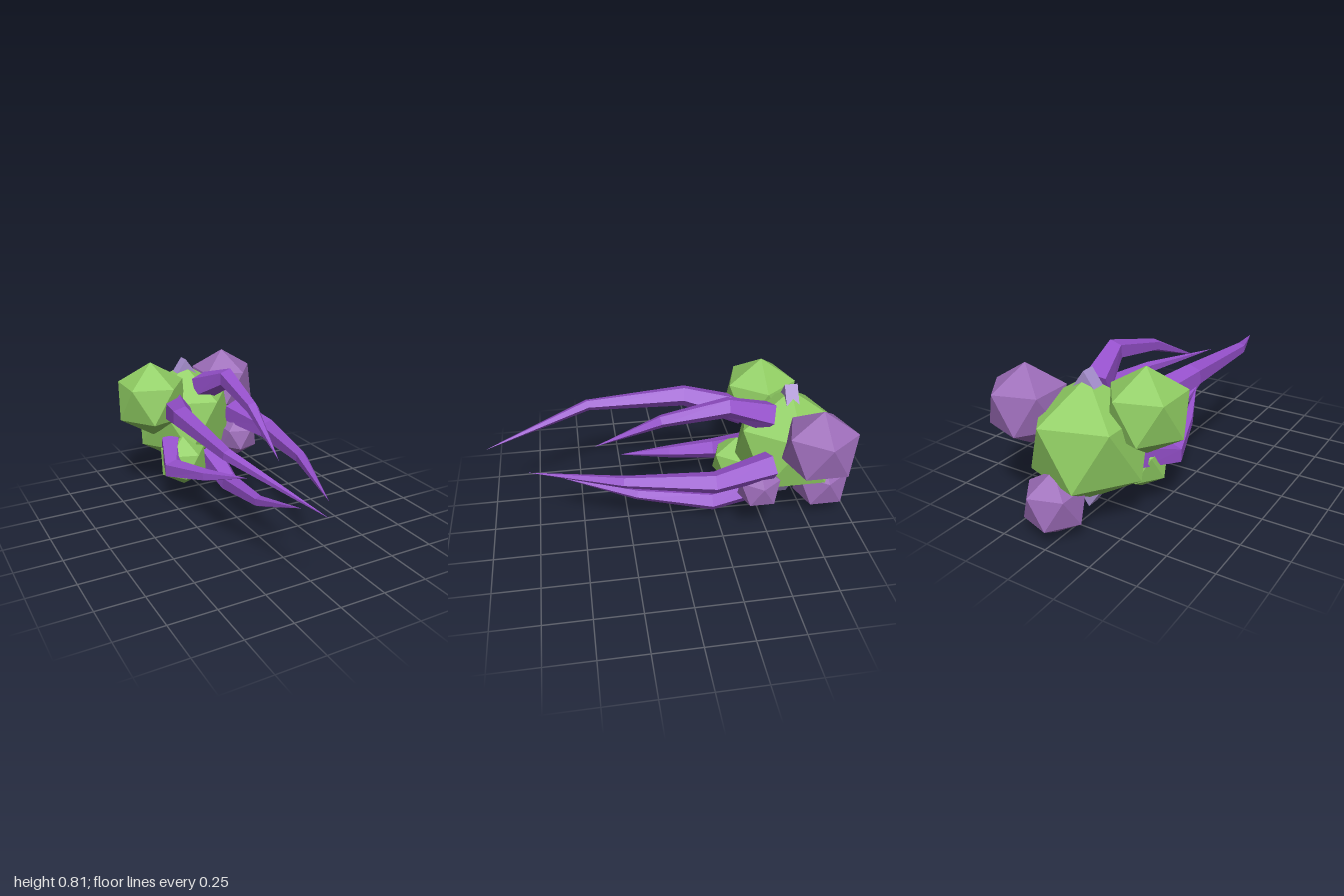
import * as THREE from 'three';
import { ConvexGeometry } from 'three/addons/geometries/ConvexGeometry.js';

const material = (name, color) => {
  const m = new THREE.MeshStandardMaterial({ color, flatShading: true });
  m.name = name;
  return m;
};

// Unit icosahedron standing on a vertex: two poles and two staggered rings of five
function polePointedIcosahedron() {
  const pts = [new THREE.Vector3(0, 1, 0), new THREE.Vector3(0, -1, 0)];
  const h = 1 / Math.sqrt(5), r = 2 / Math.sqrt(5);
  for (let k = 0; k < 5; k++) {
    const up = k * Math.PI * 0.4, low = up + Math.PI * 0.2;
    pts.push(new THREE.Vector3(r * Math.cos(up), h, r * Math.sin(up)));
    pts.push(new THREE.Vector3(r * Math.cos(low), -h, r * Math.sin(low)));
  }
  return new ConvexGeometry(pts);
}

const CENTRE = new THREE.Vector3(-0.018, 0.423, 0);

// Five-sided tapering claw through rings of [x, y, z, radius]
function clawGeometry(rings, sides = 5) {
  const centres = rings.map(([x, y, z]) => new THREE.Vector3(x, y, z));
  const radial = centres[1].clone().sub(CENTRE).setZ(0).normalize();
  const loops = centres.map((c, i) => {
    const before = centres[Math.max(i - 1, 0)];
    const after = centres[Math.min(i + 1, centres.length - 1)];
    const t = after.clone().sub(before).normalize();
    const u = radial.clone().addScaledVector(t, -radial.dot(t)).normalize();
    const v = t.clone().cross(u);
    return Array.from({ length: sides }, (_, j) => {
      const a = (j / sides) * Math.PI * 2;
      return c.clone()
        .addScaledVector(u, Math.cos(a) * rings[i][3])
        .addScaledVector(v, Math.sin(a) * rings[i][3]);
    });
  });
  const tris = [];
  for (let j = 0; j < sides; j++) {
    const k = (j + 1) % sides;
    tris.push(centres[0], loops[0][k], loops[0][j]);
    for (let i = 0; i < loops.length - 1; i++) {
      const [a, b, c, d] = [loops[i][j], loops[i][k], loops[i + 1][j], loops[i + 1][k]];
      tris.push(a, b, c);
      if (i < loops.length - 2) tris.push(b, d, c);
    }
  }
  const geo = new THREE.BufferGeometry().setFromPoints(tris);
  geo.computeVertexNormals();
  return geo;
}

export function createModel() {
  const group = new THREE.Group();
  const green = material('leafGreen', 0x8fcc62);
  const mauve = material('mauve', 0x9c6cb8);
  const violet = material('violet', 0x9550cb);
  const lavender = material('lavender', 0xa890d0);

  const add = (name, geometry, mat) => {
    const mesh = new THREE.Mesh(geometry, mat);
    mesh.name = name;
    group.add(mesh);
    return mesh;
  };

  // Body and the lumps growing on it
  const lump = polePointedIcosahedron();
  const lumps = [
    ['body', green, -0.018, 0.423, -0.648, 0.32],
    ['upperRightLump', green, -0.27, 0.59, -0.545, 0.22],
    ['lowerRightLump', green, -0.145, 0.233, -0.4, 0.15],
    ['upperLeftLump', mauve, 0.28, 0.57, -0.73, 0.21],
    ['lowerLeftLump', mauve, 0.236, 0.314, -0.435, 0.124],
    ['bottomLump', mauve, 0.045, 0.167, -0.857, 0.167],
  ];
  for (const [name, mat, x, y, z, r] of lumps) {
    const mesh = add(name, lump, mat);
    mesh.position.set(x, y, z);
    mesh.scale.setScalar(r);
  }

  // Diamond band whose points poke out above and below the body
  const band = add('band', new THREE.CylinderGeometry(1, 1, 0.07, 4).rotateX(Math.PI / 2), lavender);
  band.position.set(-0.018, 0.423, -0.645);
  band.scale.set(0.255, 0.356, 1);

  // Claws: root, bulge, taper, tip
  const claws = {
    upperRightClaw: [[-0.17, 0.55, -0.43, 0.085], [-0.27, 0.615, -0.11, 0.06], [-0.28, 0.595, 0.43, 0.032], [-0.09, 0.475, 1, 0]],
    topClaw: [[0.045, 0.635, -0.51, 0.085], [0.09, 0.735, -0.28, 0.057], [0.06, 0.665, 0.06, 0.035], [0.01, 0.505, 0.42, 0]],
    leftClaw: [[0.24, 0.45, -0.49, 0.08], [0.305, 0.42, -0.18, 0.06], [0.235, 0.425, 0.28, 0.034], [0.07, 0.42, 0.77, 0]],
    lowerRightClaw: [[-0.17, 0.31, -0.48, 0.085], [-0.26, 0.245, -0.28, 0.06], [-0.185, 0.3, 0, 0.035], [-0.09, 0.373, 0.275, 0]],
    bottomClaw: [[0.07, 0.215, -0.51, 0.085], [0.07, 0.115, -0.22, 0.057], [0.03, 0.18, 0.2, 0.032], [0.01, 0.337, 0.635, 0]],
  };
  for (const [name, rings] of Object.entries(claws)) add(name, clawGeometry(rings), violet);

  return group;
}
